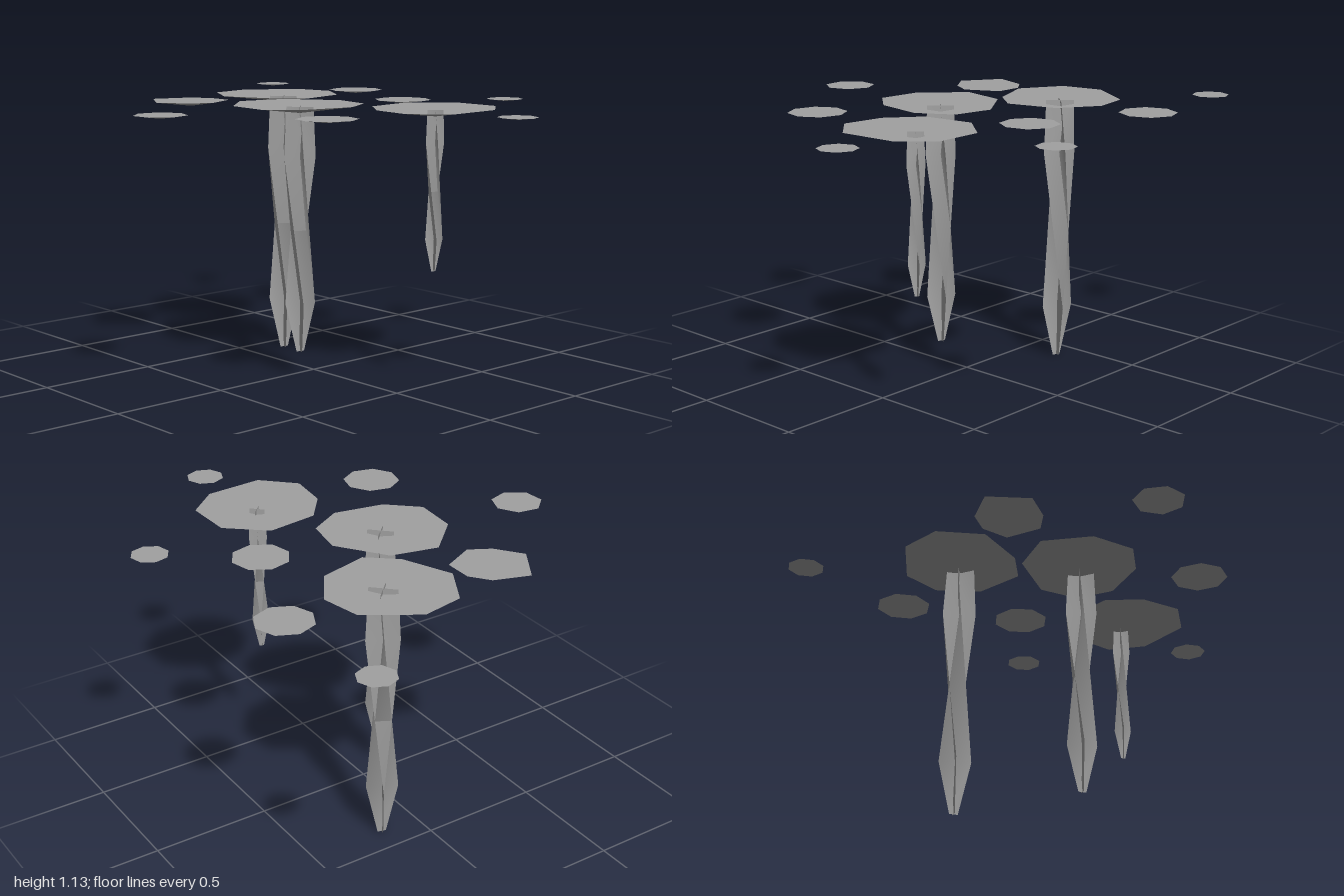
import * as THREE from 'three';

const COLOR = 0xa0a0a0;
const padMaterial = new THREE.MeshStandardMaterial({ color: COLOR, side: THREE.DoubleSide });
const stalkMaterial = new THREE.MeshStandardMaterial({ color: COLOR, side: THREE.DoubleSide });

// Shallow dished leaf: a fan whose hub sits below its rim (outline is [x, z], clockwise from above)
function makePad(name, outline, hub, rimY, depth) {
  const n = outline.length;
  const geometry = new THREE.CircleGeometry(1, n);
  const { position, normal } = geometry.attributes;
  position.setXYZ(0, hub[0], rimY - depth, hub[1]);
  for (let i = 0; i <= n; i++) {
    const [x, z] = outline[(n - i) % n];
    position.setXYZ(i + 1, x, rimY, z);
  }
  // Upright normals shade the leaf as one even surface
  for (let i = 0; i < normal.count; i++) normal.setXYZ(i, 0, 1, 0);
  const mesh = new THREE.Mesh(geometry, padMaterial);
  mesh.name = name;
  return mesh;
}

// Slightly turned regular outline for the small leaves
function ring(x, z, radius, sides, turn) {
  return Array.from({ length: sides }, (_, i) => {
    const a = turn + (i / sides) * Math.PI * 2;
    return [x + radius * Math.sin(a), z - radius * Math.cos(a)];
  });
}

// Stalk: two crossed ribbons twisting on the way down; rows are [height, half width, degrees]
const STALK_ROWS = [[1, 0.058, 45], [0.8, 0.069, 62], [0.2, 0.066, 152], [0, 0.018, 165]];

function makeStalk(x, z, bottom, top, thickness) {
  const stalk = new THREE.Group();
  stalk.name = 'stalk';
  for (const quarter of [0, 1]) {
    const geometry = new THREE.PlaneGeometry(2, 1, 1, STALK_ROWS.length - 1);
    const pos = geometry.attributes.position;
    for (let i = 0; i < pos.count; i++) {
      const [t, halfWidth, degrees] = STALK_ROWS[Math.floor(i / 2)];
      const angle = THREE.MathUtils.degToRad(degrees);
      const reach = pos.getX(i) * halfWidth * thickness;
      pos.setXYZ(i, reach * Math.cos(angle), bottom + t * (top - bottom), -reach * Math.sin(angle));
    }
    geometry.computeVertexNormals();
    const ribbon = new THREE.Mesh(geometry, stalkMaterial);
    ribbon.name = 'stalkRibbon';
    ribbon.rotation.y = quarter * Math.PI / 2;
    stalk.add(ribbon);
  }
  stalk.position.set(x, 0, z);
  return stalk;
}

export function createModel() {
  const model = new THREE.Group();
  model.name = 'lilyPads';

  // Large pads, each on its own stalk
  const large = [
    { hub: [0.17, -0.39], bottom: 0, thickness: 1,
      outline: [[-0.01, -0.63], [0.17, -0.665], [0.38, -0.53], [0.415, -0.36],
        [0.31, -0.195], [0.1, -0.14], [-0.02, -0.24], [-0.11, -0.45]] },
    { hub: [-0.11, 0.04], bottom: 0.105, thickness: 0.95,
      outline: [[-0.2, -0.235], [0, -0.19], [0.14, 0.01], [0.11, 0.185],
        [-0.035, 0.27], [-0.25, 0.23], [-0.375, 0.115], [-0.36, -0.08]] },
    { hub: [0.2, 0.5], bottom: 0.47, thickness: 0.55,
      outline: [[0.27, 0.265], [0.425, 0.4], [0.43, 0.61], [0.3, 0.725],
        [0.055, 0.74], [-0.075, 0.61], [-0.055, 0.43], [0.05, 0.295]] },
  ];
  for (const { hub, bottom, thickness, outline } of large) {
    model.add(makePad('largePad', outline, hub, 1.13, 0.035));
    model.add(makeStalk(hub[0], hub[1], bottom, 1.12, thickness));
  }

  // Uneven middle-sized pad
  model.add(makePad('mediumPad',
    [[-0.36, -0.62], [-0.21, -0.57], [-0.15, -0.49], [-0.15, -0.37],
      [-0.29, -0.3], [-0.38, -0.35], [-0.46, -0.46]], [-0.28, -0.46], 1.123, 0.023));

  // Small floating pads: x, z, radius, sides, turn
  const small = [
    [0.615, -0.405, 0.119, 8, 0.05],
    [0.42, 0.095, 0.12, 8, 0.16],
    [-0.365, 0.487, 0.121, 8, -0.14],
    [-0.743, -0.046, 0.108, 7, -0.3],
    [0.56, -0.922, 0.078, 8, 0.04],
    [0.77, 0.358, 0.078, 8, 0.15],
    [0.217, 0.915, 0.08, 8, 0],
  ];
  for (const [x, z, r, sides, turn] of small) {
    model.add(makePad('smallPad', ring(x, z, r, sides, turn), [x, z], 1.122, r * 0.13));
  }
  return model;
}
